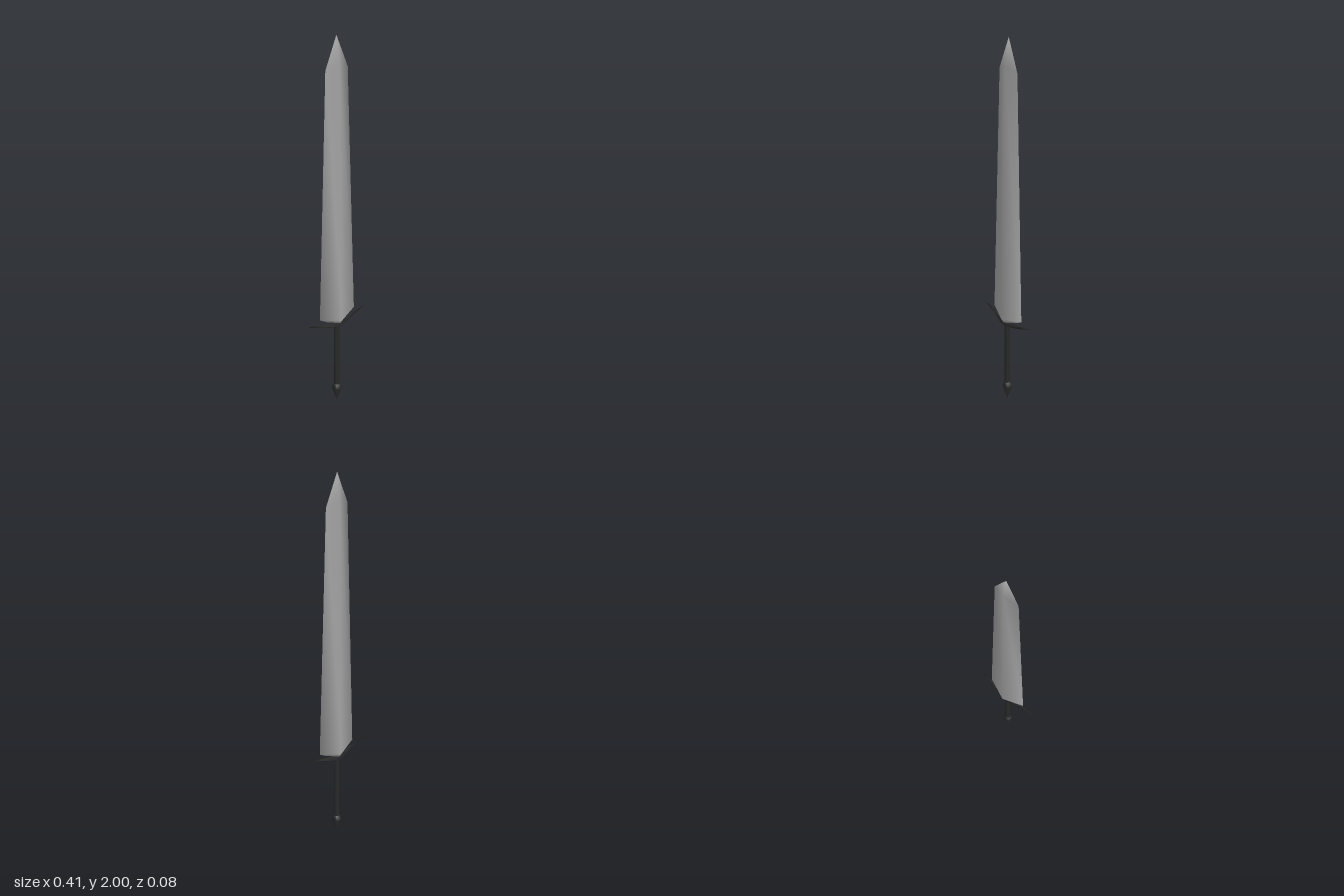
import * as THREE from 'three';

// Skin four-cornered rings (arrays of [x, y, z]) that run from one end point to the other.
function skin(start, rings, end) {
  const pos = [start, ...rings.flat(), end].flat();
  const last = rings.length * 4 + 1;
  const index = [];
  for (let k = 0; k < 4; k++) {
    const n = (k + 1) % 4;
    index.push(0, 1 + n, 1 + k);
    for (let r = 0; r < rings.length - 1; r++) {
      const a = 1 + r * 4 + k, b = 1 + r * 4 + n;
      index.push(a, b, a + 4, b, b + 4, a + 4);
    }
    index.push(last, last - 4 + k, last - 4 + n);
  }
  const geo = new THREE.BufferGeometry();
  geo.setAttribute('position', new THREE.Float32BufferAttribute(pos, 3));
  geo.setIndex(index);
  geo.computeVertexNormals();
  return geo;
}

export function createModel() {
  const steel = new THREE.MeshStandardMaterial({ color: 0xa3a3a3 });
  steel.name = 'steel';
  const iron = new THREE.MeshStandardMaterial({ color: 0x292929 });
  iron.name = 'dark iron';
  const group = new THREE.Group();
  group.name = 'sword';
  const add = (name, geo, mat) => {
    const mesh = new THREE.Mesh(geo, mat);
    mesh.name = name;
    group.add(mesh);
    return mesh;
  };

  // Blade: diamond section around (0.003, z), edges at height ye and ridges at height yr
  const cx = 0.003;
  const diamond = (w, d, ye, yr, z) =>
    [[cx + w, ye, z], [cx, yr, z - d], [cx - w, ye, z], [cx, yr, z + d]];
  add('blade', skin([cx, 0.475, 0], [
    diamond(0.07, 0.025, 0.503, 0.483, 0),
    diamond(0.116, 0.04, 0.53, 0.505, 0),
    diamond(0.069, 0.021, 1.84, 1.87, -0.004),
  ], [cx, 2, -0.006]), steel);

  // Crossguard: swept arms tapering to upturned points
  const section = (x, y, h, d) => [[x, y + h, 0], [x, y, d], [x, y - h, 0], [x, y, -d]];
  add('crossguard', skin([-0.203, 0.52, 0], [
    section(-0.1, 0.49, 0.009, 0.01),
    section(-0.04, 0.473, 0.014, 0.022),
    section(0, 0.47, 0.018, 0.03),
    section(0.04, 0.473, 0.014, 0.022),
    section(0.1, 0.49, 0.009, 0.01),
  ], [0.203, 0.52, 0]), iron);

  // Grip
  const grip = add('grip', new THREE.CylinderGeometry(0.015, 0.015, 0.38, 8), iron);
  grip.position.y = 0.275;

  // Pommel: pointed spike
  const profile = [[0, 0], [0.027, 0.077], [0.015, 0.104], [0, 0.104]];
  add('pommel', new THREE.LatheGeometry(profile.map(p => new THREE.Vector2(...p)), 8), iron);

  return group;
}
